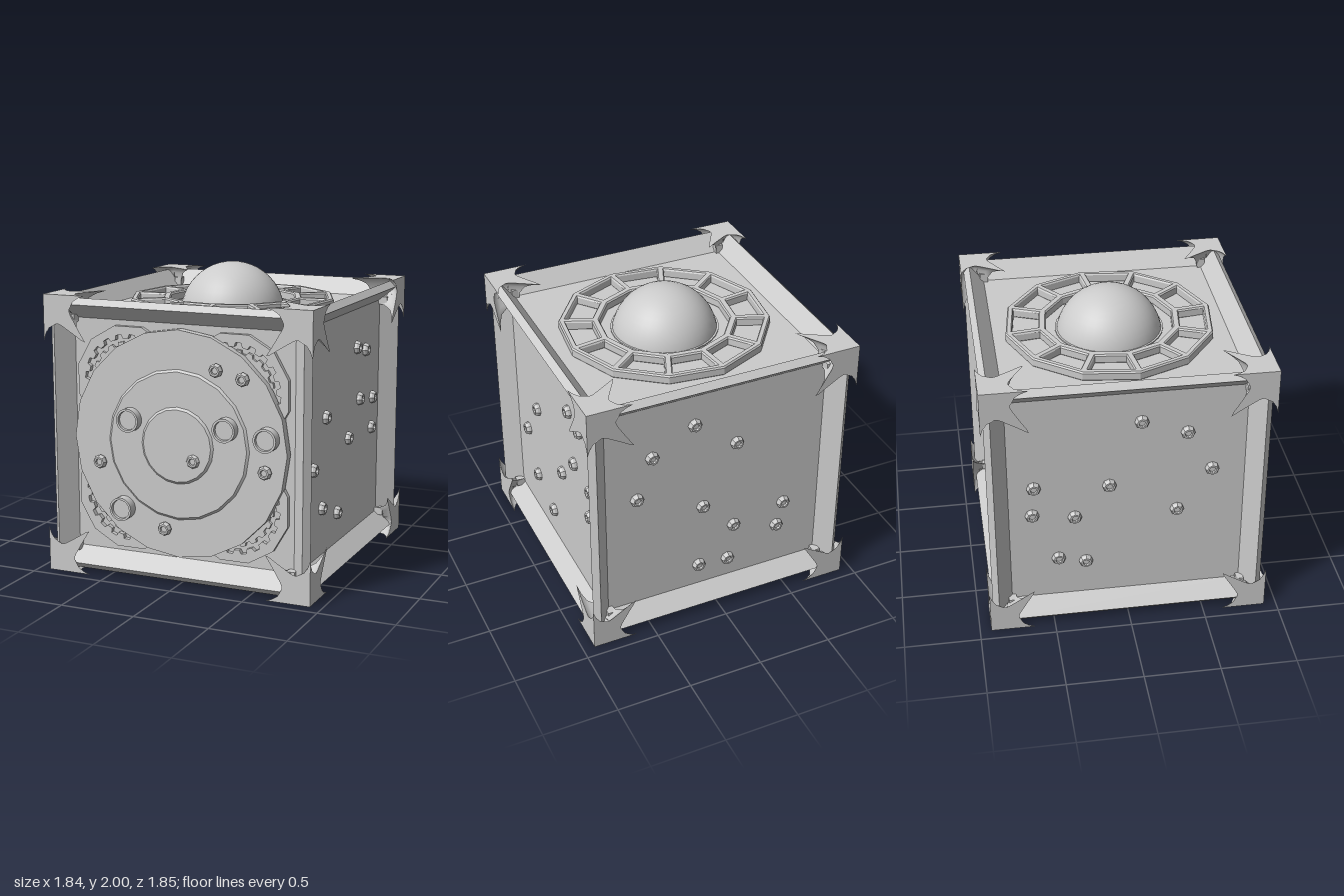
import * as THREE from 'three';
import { toCreasedNormals, mergeGeometries } from 'three/addons/utils/BufferGeometryUtils.js';

const H = 0.922;      // half size of the cube over its corner caps, also its centre height
const PANEL = 0.79;   // half size of the recessed core
const material = new THREE.MeshStandardMaterial({ color: 0xcccccc });
const thin = new THREE.MeshStandardMaterial({ color: 0xcccccc, side: THREE.DoubleSide });

function add(parent, name, geometry, mat = material) {
  const mesh = new THREE.Mesh(geometry, mat);
  mesh.name = name;
  parent.add(mesh);
  return mesh;
}

const v2 = (pts) => pts.map(([x, y]) => new THREE.Vector2(x, y));
const polar = (r, a) => new THREE.Vector2(r * Math.cos(a), r * Math.sin(a));
const polygon = (r, n, start = 0) =>
  Array.from({ length: n }, (_, i) => polar(r, start + (i / n) * Math.PI * 2));

// Turned part whose axis points to +z
function turned(profile, sides, crease = 0.6) {
  const g = new THREE.LatheGeometry(v2(profile), sides).rotateX(Math.PI / 2);
  return toCreasedNormals(g, crease);
}

// Flat twelve-sided ring divided by spokes into open windows
function windowRing() {
  const n = 12, start = THREE.MathUtils.degToRad(8), step = (Math.PI * 2) / n;
  const shape = new THREE.Shape(polygon(0.685, n, start));
  shape.holes.push(new THREE.Path(polygon(0.435, n, start)));
  for (let i = 0; i < n; i++) {
    const a = start + i * step, b = a + step;
    const corner = (r, ang, side) => polar(r, ang).add(polar(0.016 * side, ang + Math.PI / 2));
    shape.holes.push(new THREE.Path([
      corner(0.465, a, 1), corner(0.655, a, 1), corner(0.655, b, -1), corner(0.465, b, -1)]));
  }
  return new THREE.ExtrudeGeometry(shape, {
    depth: 0.045, bevelEnabled: true, bevelThickness: 0.01, bevelSize: 0.008, bevelSegments: 1 });
}

// Outline with square-ish teeth
function toothed(rIn, rOut, teeth) {
  const pts = [];
  for (let i = 0; i < teeth; i++) {
    [[0, rIn], [0.4, rIn], [0.5, rOut], [0.9, rOut]].forEach(([f, r]) =>
      pts.push(polar(r, ((i + f) / teeth) * Math.PI * 2)));
  }
  return pts;
}

// Corner cap: a concave star on each of three faces, hollowed behind its edge.
// Local axes start at the cube corner and point inward.
function capGeometry() {
  const half = [[0.3, 0], [0.225, 0.03], [0.187, 0.095], [0.228, 0.18], [0.3, 0.295]];
  const arc = new THREE.SplineCurve(v2(half)).getPoints(16);
  const outline = [...arc, ...arc.slice(0, -1).reverse().map((p) => new THREE.Vector2(p.y, p.x))];
  const face = new THREE.ShapeGeometry(new THREE.Shape([new THREE.Vector2(0, 0), ...outline]));
  const levels = [[0, 1], [0.015, 0.85], [0.04, 0.72], [0.09, 0.63], [0.16, 0.6]];
  const pos = [], idx = [], n = outline.length;
  levels.forEach(([depth, s], k) => outline.forEach((p, i) => {
    pos.push(p.x * s, p.y * s, depth);
    if (k && i) {
      const d = k * n + i, c = d - n;
      idx.push(c - 1, d - 1, c, c, d - 1, d);
    }
  }));
  const wall = new THREE.BufferGeometry();
  wall.setAttribute('position', new THREE.Float32BufferAttribute(pos, 3));
  wall.setIndex(idx);
  const flat = face.toNonIndexed();
  // Outer face looks toward the outside of the corner
  const p = flat.attributes.position;
  for (let t = 0; t < p.count; t += 3) {
    const x = p.getX(t), y = p.getY(t);
    p.setXY(t, p.getX(t + 1), p.getY(t + 1));
    p.setXY(t + 1, x, y);
  }
  flat.deleteAttribute('uv');
  flat.computeVertexNormals();
  const one = mergeGeometries([flat, toCreasedNormals(wall, 0.7)]);
  const cycle = new THREE.Matrix4().set(0, 0, 1, 0, 1, 0, 0, 0, 0, 1, 0, 0, 0, 0, 0, 1);
  const two = one.clone().applyMatrix4(cycle);
  return mergeGeometries([one, two, two.clone().applyMatrix4(cycle)]);
}

export function createModel() {
  const model = new THREE.Group();
  model.name = 'cube';
  const body = new THREE.Group();
  body.name = 'body';
  body.position.set(0, H, -0.004);
  model.add(body);

  add(body, 'core', new THREE.BoxGeometry(2 * PANEL, 2 * PANEL, 2 * PANEL));

  // Twelve edge rails: chamfered outside, sloping in to the panels
  const railShape = new THREE.Shape(v2([
    [0.74, 0.74], [PANEL, 0.74], [PANEL, 0.765], [0.9, 0.86], [0.86, 0.9], [0.765, PANEL], [0.74, PANEL]]));
  const rail = new THREE.ExtrudeGeometry(railShape, { depth: 1.7, bevelEnabled: false }).translate(0, 0, -0.85);
  [[0, 0], [Math.PI / 2, 0], [0, Math.PI / 2]].forEach(([rx, ry]) => {
    const set = new THREE.Group();
    set.name = 'edgeRails';
    set.rotation.set(rx, ry, 0);
    for (let i = 0; i < 4; i++) add(set, 'edgeRail', rail).rotation.z = (i * Math.PI) / 2;
    body.add(set);
  });

  // Eight corner caps, mirrored from one
  const cap = capGeometry();
  for (const x of [-1, 1]) for (const y of [-1, 1]) for (const z of [-1, 1]) {
    const m = add(body, 'cornerCap', cap, thin);
    m.position.set(x * H, y * H, z * H);
    m.scale.set(-x, -y, -z);
  }

  // Bolt pattern shared by five faces; four bolts become knobs on the front
  const bolts = [[0.27, 0.505], [0.45, 0.462], [0.115, -0.088], [0.6, -0.112], [-0.55, -0.155],
    [-0.09, -0.553], [-0.328, 0.144], [0.34, 0.139], [0.615, 0.1], [-0.385, -0.447]];
  const bolt = turned([[0.045, 0], [0.045, 0.018], [0.035, 0.034], [0.023, 0.034], [0.02, 0.02], [0, 0.02]], 8, 0.3);
  const knob = turned([[0.077, 0], [0.077, 0.065], [0.063, 0.065], [0.061, 0.045], [0, 0.045]], 24);
  const faces = [ // name, tilt x, turn y, spin in the face
    ['frontBolts', 0, 0, 0], ['leftBolts', 0, Math.PI / 2, 0], ['backBolts', 0, Math.PI, -Math.PI / 2],
    ['rightBolts', 0, -Math.PI / 2, Math.PI], ['bottomBolts', Math.PI / 2, 0, 0]];
  faces.forEach(([name, rx, ry, rz], f) => {
    const set = new THREE.Group();
    set.name = name;
    set.rotation.set(rx, ry, rz);
    bolts.forEach(([u, v], i) => {
      const isKnob = f === 0 && i > 5;
      const m = add(set, isKnob ? 'knob' : 'bolt', isKnob ? knob : bolt);
      m.position.set(u, v, f === 0 ? (isKnob ? 0.865 : 0.873) : PANEL);
    });
    body.add(set);
  });

  // Stepped front disc
  add(body, 'frontDisc', turned([
    [0.6, 0.8], [0.74, 0.8], [0.74, 0.86], [0.49, 0.86], [0.475, 0.872],
    [0.25, 0.872], [0.235, 0.884], [0, 0.884]], 20, 0.4));

  // Four wheels behind the disc: a ring with a toothed opening around a hub
  const ringShape = new THREE.Shape(polygon(0.375, 12, Math.PI / 12));
  ringShape.holes.push(new THREE.Path(toothed(0.285, 0.312, 20)));
  const ring = new THREE.ExtrudeGeometry(ringShape, { depth: 0.04, bevelEnabled: false });
  const hub = new THREE.ExtrudeGeometry(new THREE.Shape(toothed(0.245, 0.265, 20)), { depth: 0.03, bevelEnabled: false });
  for (const x of [-1, 1]) for (const y of [-1, 1]) {
    const wheel = new THREE.Group();
    wheel.name = 'cornerWheel';
    wheel.position.set(x * 0.368, y * 0.368, PANEL - 0.008);
    add(wheel, 'wheelRing', ring);
    add(wheel, 'wheelHub', hub);
    body.add(wheel);
  }

  // Top: dome, collar and windowed ring
  const top = new THREE.Group();
  top.name = 'top';
  top.rotation.x = -Math.PI / 2;
  top.position.y = PANEL;
  body.add(top);
  add(top, 'windowRing', windowRing()).position.z = 0.005;
  add(top, 'domeCollar', turned([[0.355, -0.01], [0.355, 0.008], [0.3, 0.008]], 32));
  const dome = add(body, 'dome', new THREE.SphereGeometry(0.35, 40, 24));
  dome.position.y = 2 - 0.35 - H;

  return model;
}
